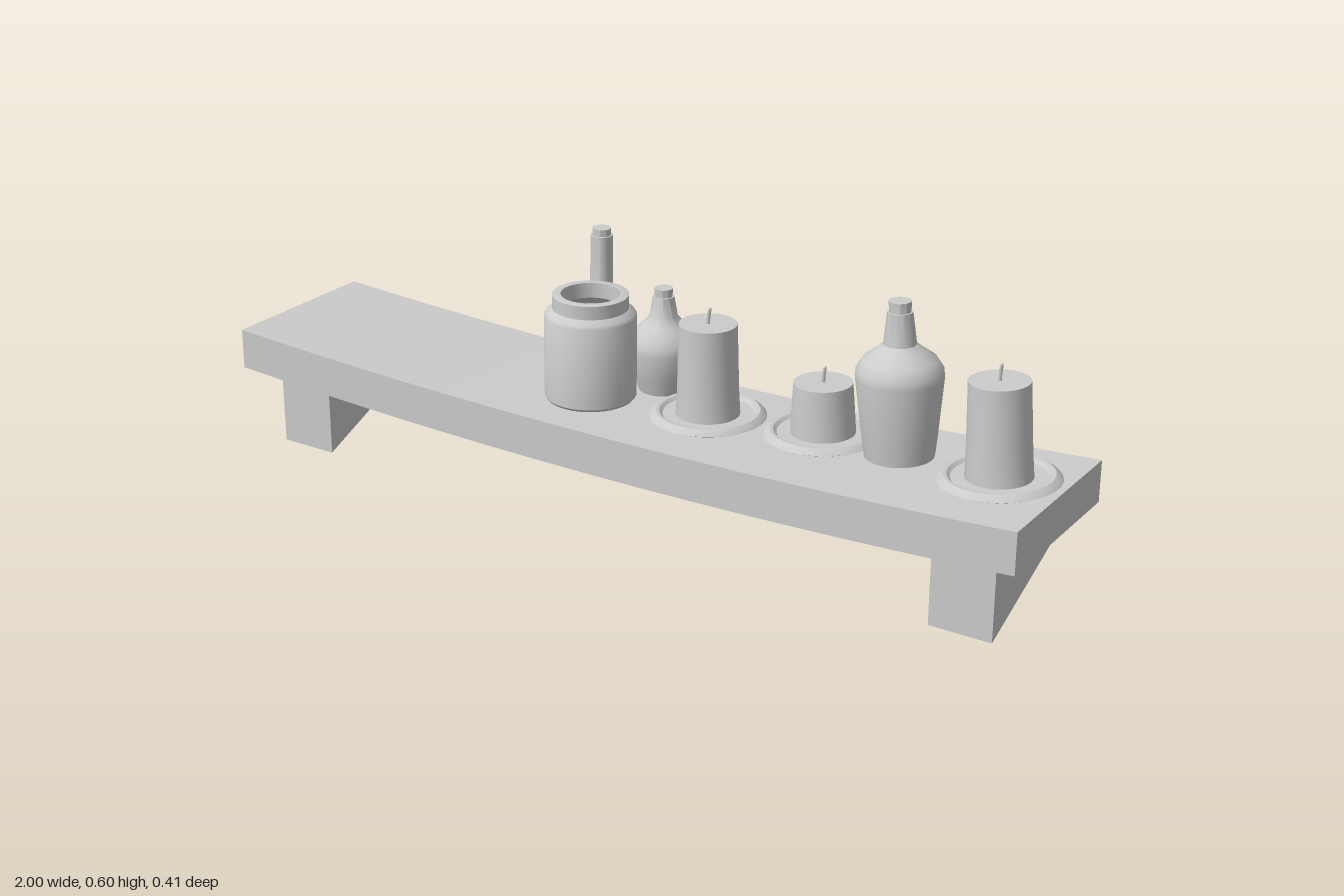
import * as THREE from 'three';
import { toCreasedNormals } from 'three/addons/utils/BufferGeometryUtils.js';

const material = new THREE.MeshStandardMaterial({ color: 0xcccccc });
const SAG = 0.032;
const THICKNESS = 0.095;
const shelfTop = (x) => 0.248 + SAG * x * x;

function mesh(name, geometry) {
  const m = new THREE.Mesh(geometry, material);
  m.name = name;
  return m;
}

// Turned part from [radius, height] pairs, listed from the bottom up
function turned(name, profile, segments = 32) {
  const points = profile.map(([r, y]) => new THREE.Vector2(r, y));
  return mesh(name, toCreasedNormals(new THREE.LatheGeometry(points, segments), 0.6));
}

// Plank bending down in the middle
function createShelf() {
  const geometry = new THREE.BoxGeometry(2, THICKNESS, 0.41, 16, 1, 1);
  const p = geometry.attributes.position;
  for (let i = 0; i < p.count; i++) {
    p.setY(i, p.getY(i) - THICKNESS / 2 + shelfTop(p.getX(i)));
  }
  return mesh('shelf', toCreasedNormals(geometry, 0.6));
}

// Wall bracket with a slanted underside
function createBracket(name, x) {
  const width = 0.143;
  const side = new THREE.Shape([
    new THREE.Vector2(0.16, 0),
    new THREE.Vector2(0.16, 0.2),
    new THREE.Vector2(-0.113, 0.2),
    new THREE.Vector2(-0.113, 0.115),
  ]);
  const geometry = new THREE.ExtrudeGeometry(side, { depth: width, bevelEnabled: false });
  geometry.translate(0, 0, -width / 2).rotateY(-Math.PI / 2);
  const bracket = mesh(name, geometry);
  bracket.position.x = x;
  return bracket;
}

// Candle with its wick on a round plate
function createCandle(name, height) {
  const group = new THREE.Group();
  group.name = name;
  const plate = turned('plate', [
    [0, 0], [0.122, 0], [0.13, 0.004], [0.127, 0.008], [0.115, 0.016], [0.107, 0.015], [0.1, 0.008], [0, 0.008],
  ], 40);
  const wax = turned('wax', [
    [0, 0.006], [0.071, 0.006], [0.068, 0.06], [0.064, height], [0, height],
  ]);
  const path = new THREE.CatmullRomCurve3([
    new THREE.Vector3(0, height - 0.005, 0),
    new THREE.Vector3(0.001, height + 0.015, 0),
    new THREE.Vector3(0.004, height + 0.033, 0),
  ]);
  const wick = mesh('wick', new THREE.TubeGeometry(path, 6, 0.004, 8));
  const wickTip = mesh('wickTip', new THREE.SphereGeometry(0.004, 8, 6));
  wickTip.position.set(0.004, height + 0.033, 0);
  group.add(plate, wax, wick, wickTip);
  return group;
}

const BOTTLES = {
  longNeckBottle: [
    [0, 0], [0.06, 0], [0.082, 0.032], [0.09, 0.065], [0.085, 0.098], [0.064, 0.134], [0.044, 0.151],
    [0.03, 0.164], [0.026, 0.2], [0.025, 0.331], [0.021, 0.331], [0.021, 0.347], [0, 0.347],
  ],
  smallBottle: [
    [0, 0], [0.055, 0], [0.067, 0.04], [0.08, 0.102], [0.077, 0.12], [0.064, 0.143], [0.045, 0.16],
    [0.032, 0.176], [0.024, 0.222], [0.02, 0.222], [0.021, 0.241], [0, 0.241],
  ],
  largeBottle: [
    [0, 0], [0.074, 0], [0.079, 0.04], [0.093, 0.178], [0.092, 0.195], [0.078, 0.217], [0.052, 0.236],
    [0.035, 0.25], [0.027, 0.32], [0.023, 0.32], [0.024, 0.343], [0, 0.343],
  ],
};

// Open jar, outside wall then inside wall
const JAR = [
  [0, 0], [0.097, 0], [0.103, 0.008], [0.103, 0.196], [0.099, 0.203], [0.085, 0.213], [0.085, 0.244],
  [0.082, 0.245], [0.066, 0.245], [0.066, 0.21], [0.085, 0.19], [0.085, 0.02], [0, 0.02],
];

export function createModel() {
  const model = new THREE.Group();
  model.name = 'shelfWithCandlesAndBottles';
  model.add(createShelf(), createBracket('rightBracket', -0.85), createBracket('leftBracket', 0.87));

  // Stand a part on the shelf, leaning with its slope
  const place = (part, x, z) => {
    part.position.set(x, shelfTop(x) - 0.002, z);
    part.rotation.z = Math.atan(2 * SAG * x);
    model.add(part);
  };

  place(turned('longNeckBottle', BOTTLES.longNeckBottle), -0.19, -0.115);
  place(turned('smallBottle', BOTTLES.smallBottle), -0.015, -0.107);
  place(turned('largeBottle', BOTTLES.largeBottle), 0.617, -0.041);
  place(turned('jar', JAR, 40), -0.125, 0.022);
  place(createCandle('mediumCandle', 0.216), 0.155, -0.025);
  place(createCandle('shortCandle', 0.121), 0.422, -0.063);
  place(createCandle('tallCandle', 0.216), 0.855, -0.021);
  return model;
}
